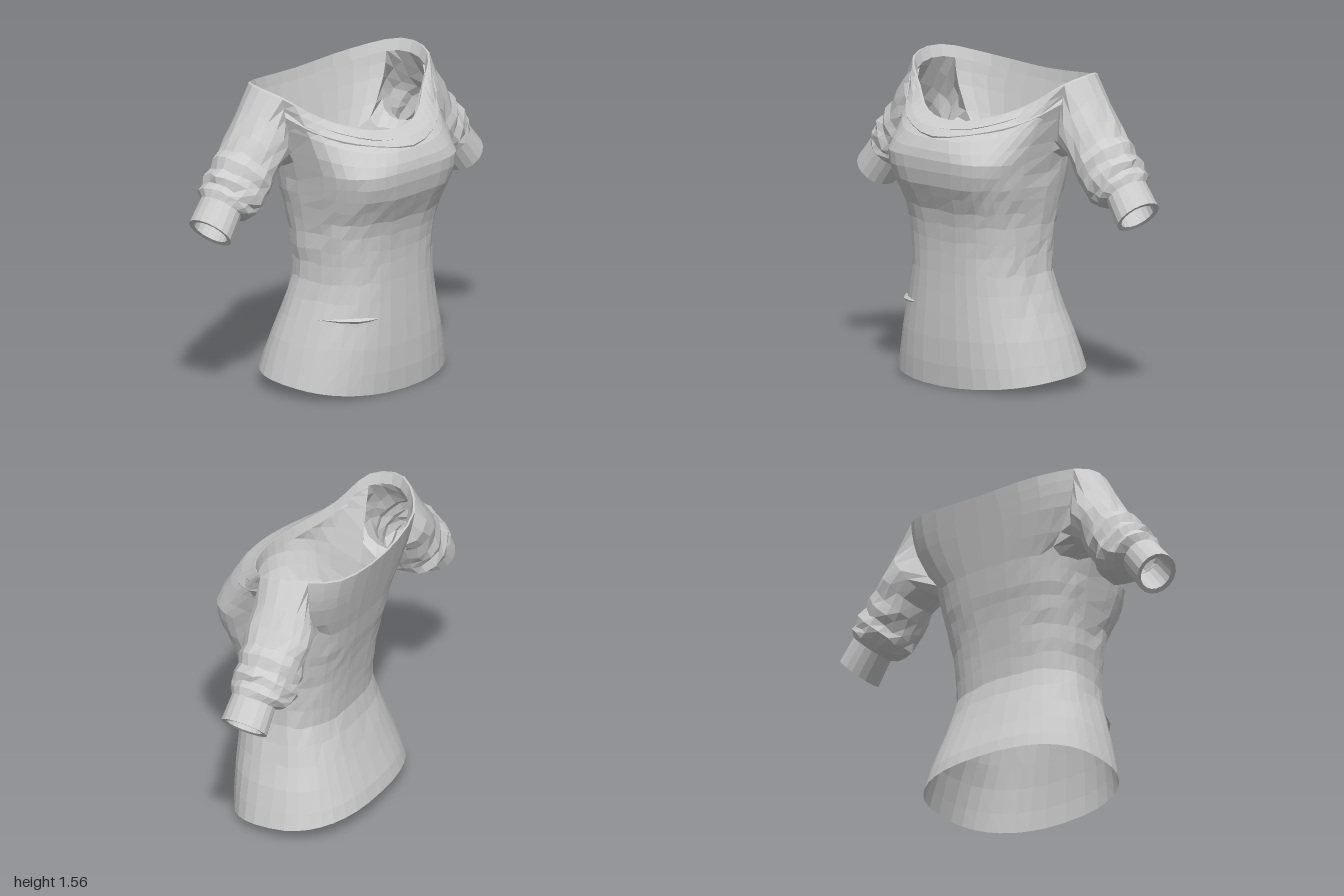
import * as THREE from 'three';

const fabric = new THREE.MeshStandardMaterial({ color: 0xcccccc, flatShading: true, side: THREE.DoubleSide });
fabric.name = 'grey fabric';

const COLS = 36;             // columns round the body, column 0 is front centre
const ARM_A = 9, ARM_B = 13; // armhole columns on the left side
const V = (x, y, z) => new THREE.Vector3(x, y, z);

let seed = 7;
const noise = () => {
  seed = (seed * 16807) % 2147483647;
  return seed / 1073741823.5 - 1;
};

// Skin rows of points with triangles; skip(r, c) leaves holes
function loft(name, rows, closed, skip = () => false) {
  const n = rows[0].length, index = [];
  for (let r = 0; r < rows.length - 1; r++) {
    for (let c = 0; c < (closed ? n : n - 1); c++) {
      if (skip(r, c)) continue;
      const d = (c + 1) % n, a = r * n, b = a + n;
      index.push(a + c, a + d, b + d, a + c, b + d, b + c);
    }
  }
  const geo = new THREE.BufferGeometry().setFromPoints(rows.flat());
  geo.setIndex(index);
  geo.computeVertexNormals();
  const mesh = new THREE.Mesh(geo, fabric);
  mesh.name = name;
  return mesh;
}

// Rounded body section, separate front and back depth; a smaller power is boxier
function section([y, w, zf, zb, zc, lift, wrinkle, power]) {
  return Array.from({ length: COLS }, (_, c) => {
    const a = (c / COLS) * Math.PI * 2, s = Math.sin(a), k = Math.cos(a);
    const e = k > 0 ? power : power * 0.4 + 0.5;
    const pow = (v) => (Math.abs(v) < 1e-9 ? 0 : Math.sign(v) * Math.abs(v) ** e);
    const f = 1 + wrinkle * noise() * Math.abs(s);
    return V(w * pow(s) * f, y + lift * ((1 - k) / 2) ** 0.7 + wrinkle * noise() * 0.6,
      zc + pow(k) * (k > 0 ? zf - zc : zc - zb) * f);
  });
}

// Off-shoulder neckline, half drawn and mirrored into a closed curve
const neckHalf = [
  V(0, 1.315, 0.27), V(0.19, 1.335, 0.225), V(0.38, 1.41, 0.1), V(0.54, 1.525, -0.01),
  V(0.55, 1.56, -0.2), V(0.36, 1.515, -0.365), V(0, 1.49, -0.405),
];
const neckCurve = new THREE.CatmullRomCurve3(
  [...neckHalf, ...neckHalf.slice(1, -1).reverse().map((p) => V(-p.x, p.y, p.z))], true, 'catmullrom');
const neckline = Array.from({ length: COLS }, (_, c) => neckCurve.getPoint(c / COLS));

export function createModel() {
  const group = new THREE.Group();
  group.name = 'offShoulderTop';

  // Torso from hem to underarm: y, half width, front z, back z, centre z, hem lift, wrinkle, power
  const rows = [
    [0, 0.51, 0.31, -0.385, -0.04, 0.1, 0, 0.8],
    [0.11, 0.487, 0.318, -0.365, -0.04, 0.06, 0, 0.8],
    [0.24, 0.455, 0.32, -0.325, -0.04, 0.03, 0, 0.78],
    [0.36, 0.415, 0.317, -0.285, -0.03, 0.02, 0.008, 0.77],
    [0.47, 0.385, 0.313, -0.25, -0.02, 0.01, 0.01, 0.76],
    [0.57, 0.365, 0.31, -0.23, 0, 0, 0.012, 0.75],
    [0.66, 0.362, 0.31, -0.236, 0, 0, 0.015, 0.74],
    [0.73, 0.368, 0.312, -0.243, -0.01, 0, 0.015, 0.72],
    [0.81, 0.37, 0.32, -0.255, -0.01, 0, 0.015, 0.7],
    [0.88, 0.38, 0.335, -0.265, -0.02, 0, 0.015, 0.66],
    [0.95, 0.39, 0.365, -0.28, -0.02, 0, 0.012, 0.61],
    [1.01, 0.4, 0.39, -0.295, -0.03, 0, 0.01, 0.56],
    [1.08, 0.41, 0.404, -0.308, -0.03, 0, 0.006, 0.53],
    [1.14, 0.42, 0.406, -0.32, -0.03, 0, 0, 0.52],
  ].map(section);
  const underarm = rows.length - 1;

  // Chest and back rise from the underarm row to the neckline, the shoulder blades swelling sideways
  const chestPoint = (c, t, bulge) => {
    const p = rows[underarm][c].clone().lerp(neckline[c], t);
    const k = Math.cos((c / COLS) * Math.PI * 2);
    p.z += bulge * Math.sqrt(Math.max(0, k));
    p.x *= 1 + 0.14 * Math.sin(Math.PI * t) * Math.max(0, -k);
    return p;
  };
  for (const [t, bulge] of [[0.25, 0.024], [0.55, 0.038], [0.72, 0.03], [0.87, 0.022], [1, 0]]) {
    rows.push(Array.from({ length: COLS }, (_, c) => chestPoint(c, t, bulge)));
  }
  // Round off the lower armhole corners
  for (const c of [ARM_A, ARM_B, COLS - ARM_A, COLS - ARM_B]) {
    rows[underarm][c].y += 0.04;
    rows[underarm][c].x *= 1.04;
  }
  const top = rows.length - 1;
  const inArmhole = (c) => c >= ARM_A && c < ARM_B;
  group.add(loft('torso', rows, true,
    (r, c) => r >= underarm && (inArmhole(c) || inArmhole(COLS - 1 - c))));

  // Turned-in neck band
  const band = [[1, 0], [0.975, 0.003], [0.945, -0.055]].map(([s, dy]) =>
    neckline.map((p) => V(p.x * s, p.y + dy, (p.z + 0.08) * s - 0.08)));
  group.add(loft('neckBand', band, true));

  // Upper chest fold, tapering towards the shoulders
  const upperFold = [[0.8, 0.015], [0.84, 0.046], [0.98, 0.01]].map(([t, out]) => {
    const line = [];
    for (let i = -7; i <= 7; i++) {
      const taper = Math.cos((i / 7.5) * Math.PI / 2);
      line.push(chestPoint((i + COLS) % COLS, t, out * Math.sqrt(taper)));
    }
    return line;
  });
  group.add(loft('upperCowlFold', upperFold, false));

  // Lower chest fold, hung between the two shoulder fronts
  const ridge = new THREE.CatmullRomCurve3([
    V(-0.54, 1.435, 0.01), V(-0.44, 1.355, 0.125), V(-0.29, 1.295, 0.265), V(0, 1.25, 0.37),
    V(0.29, 1.295, 0.265), V(0.44, 1.355, 0.125), V(0.54, 1.435, 0.01),
  ]).getPoints(18);
  const lowerFold = [[0.985, -0.03, -0.012], [1, 0, 0], [0.95, 0.035, -0.04]].map(([s, dy, dz]) =>
    ridge.map((p) => V(p.x * s, p.y + dy, p.z + dz)));
  group.add(loft('lowerCowlFold', lowerFold, false));

  // Small pinched tuck at the right hip
  const tuckZ = [0.1, 0.205, 0.262, 0.292, 0.31];
  const tuck = [[-0.014, 0], [0, 0.014], [0.014, 0]].map(([dy, out]) =>
    tuckZ.map((z, i) => {
      const k = Math.sin((i / 4) * Math.PI);
      return V(-0.41 + i * 0.058 - out * k * 0.5, 0.395 + dy * k, z + out * k);
    }));
  group.add(loft('hipTuck', tuck, false));

  // Armhole edge: bottom, back, top, front
  const root = [];
  for (let c = ARM_A; c < ARM_B; c++) root.push(rows[underarm][c]);
  for (let r = underarm; r < top; r++) root.push(rows[r][ARM_B]);
  for (let c = ARM_B; c > ARM_A; c--) root.push(rows[top][c]);
  for (let r = top; r > underarm; r--) root.push(rows[r][ARM_A]);
  const N = root.length, bottom = (ARM_B - ARM_A) / 2;

  // Sleeve ring between an upper and a lower outline point
  const ring = ([tx, ty, bx, by, rz, zc = -0.15, rough = 0]) => root.map((_, i) => {
    const a = ((i - bottom) / N) * Math.PI * 2;
    const k = (1 - Math.cos(a)) / 2;
    return V(bx + (tx - bx) * k + noise() * rough, by + (ty - by) * k + noise() * rough,
      zc - Math.sin(a) * rz + noise() * rough);
  });
  const sleeve = [root, ...[
    [0.635, 1.45, 0.465, 1.17, 0.168, -0.145, 0.003],
    [0.7, 1.355, 0.53, 1.13, 0.168, -0.15, 0.008],
    [0.75, 1.285, 0.56, 1.07, 0.162, -0.15, 0.008],
    [0.795, 1.255, 0.585, 1.02, 0.17, -0.15, 0.009],
    [0.815, 1.205, 0.61, 0.985, 0.155, -0.15, 0.009],
    [0.865, 1.185, 0.63, 0.945, 0.17, -0.155, 0.009],
    [0.875, 1.14, 0.68, 0.93, 0.152, -0.155, 0.008],
    [0.905, 1.125, 0.72, 0.925, 0.147, -0.15, 0.006],
    [0.915, 1.085, 0.77, 0.945, 0.115, -0.145],
  ].map(ring)];
  const cuff = [
    [0.915, 1.085, 0.77, 0.945, 0.115, -0.145],
    [1, 0.985, 0.855, 0.83, 0.122, -0.14],
    [0.982, 0.97, 0.867, 0.85, 0.095, -0.14],
    [0.91, 1.06, 0.79, 0.95, 0.09, -0.145],
  ].map(ring);

  const mirror = (rings) => rings.map((line) => line.map((p) => V(-p.x, p.y, p.z)).reverse());
  group.add(loft('leftSleeve', sleeve, true), loft('rightSleeve', mirror(sleeve), true));
  group.add(loft('leftCuff', cuff, true), loft('rightCuff', mirror(cuff), true));
  return group;
}
